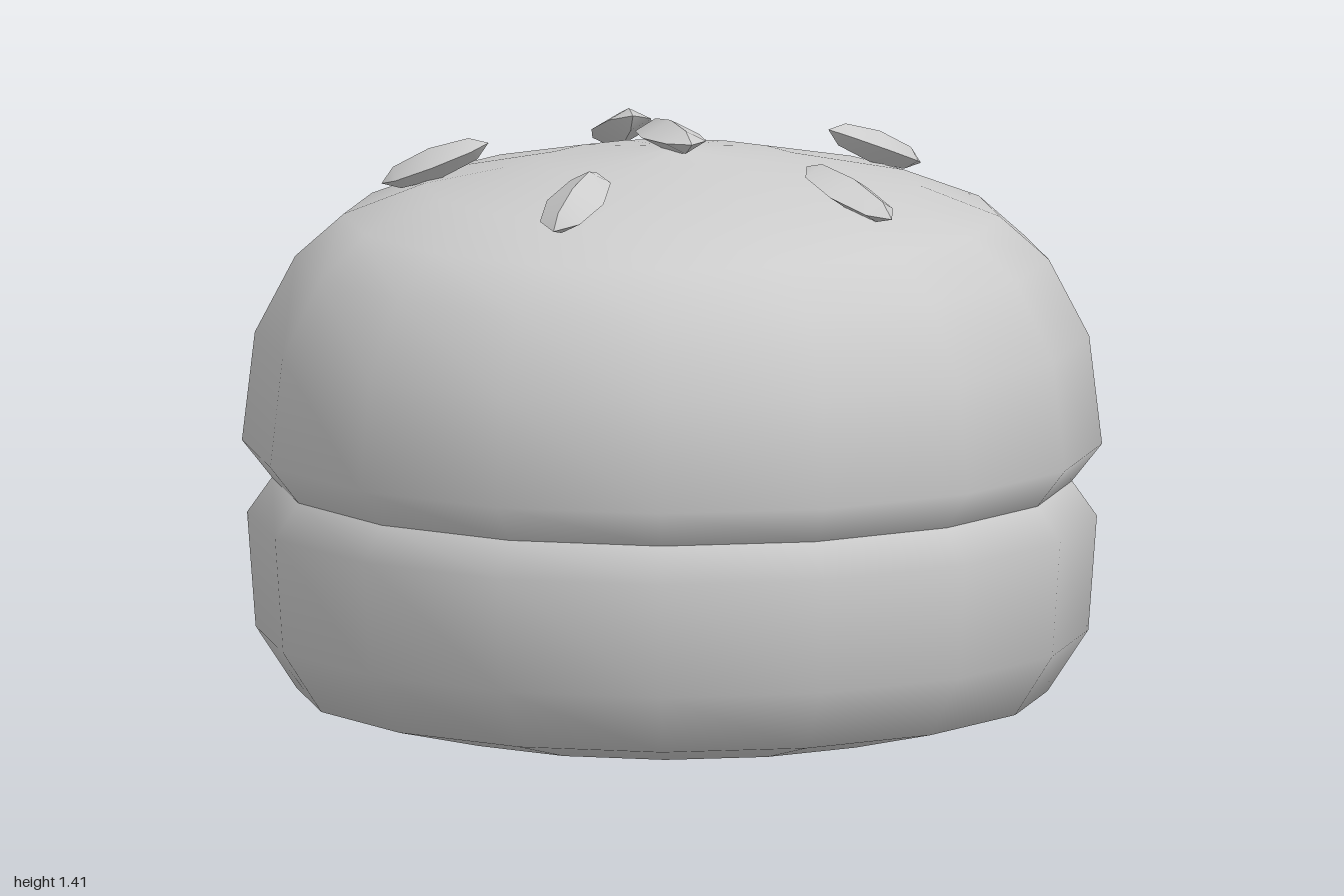
import * as THREE from 'three';
import { toCreasedNormals } from 'three/addons/utils/BufferGeometryUtils.js';

const bunGrey = new THREE.MeshStandardMaterial({ color: 0xcccccc });
bunGrey.name = 'bunGrey';

// Sixteen-sided turned body, profile given from bottom to top as [radius, y]
function turned(name, profile) {
  const points = profile.map(([r, y]) => new THREE.Vector2(r, y));
  const geometry = new THREE.LatheGeometry(points, 16, THREE.MathUtils.degToRad(-4));
  const mesh = new THREE.Mesh(geometry, bunGrey);
  mesh.name = name;
  return mesh;
}

// Pointed seed with a diamond section and a crisp ridge, lying along y
function seedGeometry() {
  const geometry = new THREE.SphereGeometry(1, 4, 4);
  geometry.scale(0.072, 0.135, 0.038);
  return toCreasedNormals(geometry, 0.6);
}

// Height of the seeds' centre lines above the crown
const seedHeight = (x, z) => {
  const r = Math.hypot(x, z);
  return r < 0.2 ? 1.372 : 1.3 - 0.4 * (r - 0.55);
};

export function createModel() {
  const group = new THREE.Group();
  group.name = 'burgerBun';

  group.add(turned('bottomBun', [
    [0, 0], [0.62, 0.004], [0.875, 0.065], [0.97, 0.21], [0.99, 0.48], [0.932, 0.562],
  ]));
  group.add(turned('topBun', [
    [0.932, 0.562], [1.002, 0.65], [0.972, 0.905], [0.878, 1.085],
    [0.765, 1.185], [0.58, 1.257], [0.3, 1.315], [0, 1.348],
  ]));

  // Seeds, each given by its two tips: x1, z1, x2, z2
  const geometry = seedGeometry();
  const tips = [
    [0.005, -0.135, -0.01, 0.13],
    [0.15, -0.66, 0.095, -0.42],
    [-0.58, -0.35, -0.37, -0.225],
    [0.42, -0.04, 0.67, -0.065],
    [-0.32, 0.275, -0.51, 0.44],
    [0.16, 0.39, 0.28, 0.62],
  ];
  tips.forEach(([x1, z1, x2, z2], i) => {
    const a = new THREE.Vector3(x1, seedHeight(x1, z1), z1);
    const b = new THREE.Vector3(x2, seedHeight(x2, z2), z2);
    const centre = a.clone().add(b).multiplyScalar(0.5);
    const along = b.clone().sub(a).normalize();
    // Lean outwards with the slope of the crown
    const up = new THREE.Vector3(centre.x, 0, centre.z);
    if (up.length() > 0.2) up.setLength(0.4);
    else up.set(0, 0, 0);
    up.y = 1;
    const side = new THREE.Vector3().crossVectors(along, up).normalize();
    up.crossVectors(side, along);
    const seed = new THREE.Mesh(geometry, bunGrey);
    seed.quaternion.setFromRotationMatrix(new THREE.Matrix4().makeBasis(side, along, up));
    seed.position.copy(centre);
    seed.name = `seed${i + 1}`;
    group.add(seed);
  });

  return group;
}
